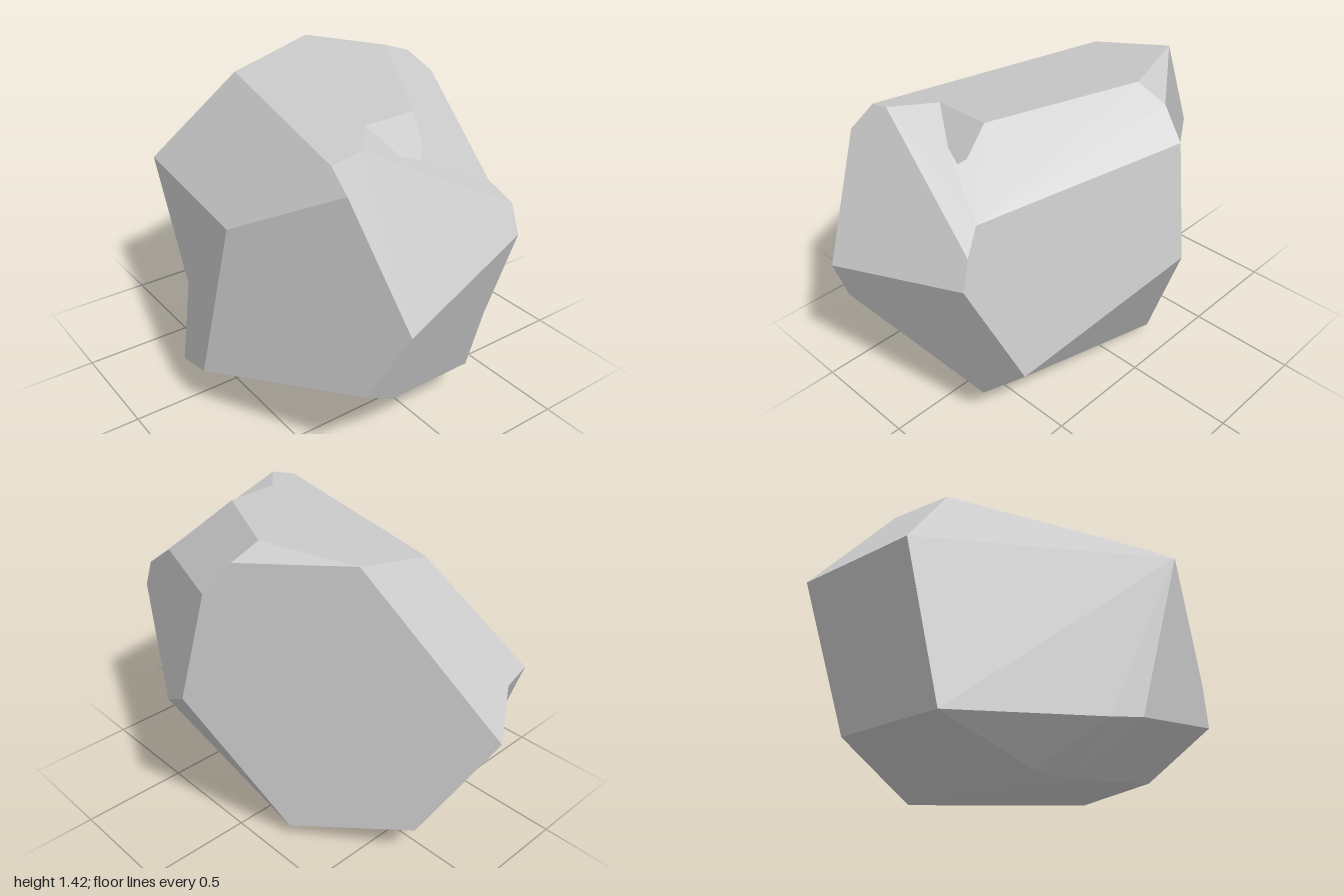
import * as THREE from 'three';

// Corners of the boulder, by region
const corner = {
  // flat top and its rim
  peak: [0.38, 1.42, -0.06], peakRight: [0.52, 1.37, -0.06], shoulder: [0.635, 1.26, -0.02],
  topBackR: [0.225, 1.397, -0.46], topBackL: [-0.18, 1.30, -0.44],
  topFrontL: [-0.43, 1.295, 0.64], topFront: [-0.31, 1.33, 0.66], rimL: [-0.44, 1.22, 0.75],
  // chip in the slope
  chipL: [-0.17, 1.342, 0.5], chipR: [0.08, 1.34, 0.49],
  chipLowL: [-0.05, 1.21, 0.57], chipLow: [0.03, 1.18, 0.595], chipLowR: [0.065, 1.21, 0.575],
  // front
  slopeFoot: [0.28, 1.08, 0.73], browR: [0.33, 1.0, 0.82], cheekR: [0.34, 0.87, 0.86],
  nose: [-0.33, 0.72, 1.0], jawL: [-0.44, 0.43, 0.88], chinL: [-0.18, 0.2, 0.73],
  chinR: [0.25, 0.19, 0.72], jawR: [0.425, 0.345, 0.64],
  // sides
  right: [0.73, 0.79, 0.04], leftTop: [-0.73, 1.03, 0.4],
  leftLowBack: [-0.73, 0.18, -0.05], leftLowFront: [-0.73, 0.22, 0.13],
  // back
  tail: [-0.04, 0.73, -1.0], backMid: [-0.28, 0.82, -0.84], backL: [-0.45, 0.82, -0.8],
  backLowR: [0.11, 0.19, -0.72], backLowL: [-0.41, 0.175, -0.61],
  // base
  footR: [0.39, 0.06, -0.22], footL: [-0.48, 0, -0.03], footBack: [-0.46, 0.012, -0.21],
};

// Facets, corners counter-clockwise from outside, fanned from the first one
const facets = {
  top: 'chipL chipR peak topBackR topBackL topFrontL topFront',
  topEdge: 'peak peakRight topBackR',
  slopeRight: 'slopeFoot shoulder peakRight peak chipR chipLowR chipLow chipLowL',
  slopeLeft: 'topFront browR slopeFoot chipLowL chipL',
  chipWall: 'chipL chipLowL chipLow chipLowR chipR',
  frontUpper: 'nose cheekR browR topFront topFrontL rimL',
  frontLower: 'nose jawL chinL chinR jawR cheekR',
  frontLeft: 'leftTop leftLowFront jawL nose rimL',
  lowerCorner: 'leftLowFront footL chinL jawL',
  frontUnderside: 'chinL footL footR chinR',
  rightUpper: 'right shoulder slopeFoot browR cheekR jawR',
  rightLower: 'jawR chinR footR right',
  rightBack: 'backLowR tail topBackR peakRight shoulder right footR',
  leftUpper: 'topBackL backL leftTop rimL topFrontL',
  leftLower: 'leftTop backL backLowL leftLowBack leftLowFront',
  backUpper: 'backMid backL topBackL topBackR tail',
  backLower: 'backMid tail backLowR backLowL backL',
  base: 'footR footL footBack backLowL backLowR',
  leftUndersideBack: 'leftLowBack backLowL footBack',
  leftUnderside: 'leftLowBack footBack footL',
  leftUndersideFront: 'leftLowFront leftLowBack footL',
};

// A facet is a fan of triangles sharing one averaged normal, so it reads as a single cut plane
function buildFacet(name, corners, material) {
  const points = corners.map((key) => new THREE.Vector3(...corner[key]));
  const normal = new THREE.Vector3();
  const index = [];
  for (let i = 1; i < points.length - 1; i++) {
    const a = points[i].clone().sub(points[0]);
    const b = points[i + 1].clone().sub(points[0]);
    normal.add(a.cross(b));
    index.push(0, i, i + 1);
  }
  normal.normalize();
  const normals = points.flatMap(() => normal.toArray());
  const geometry = new THREE.BufferGeometry().setFromPoints(points);
  geometry.setAttribute('normal', new THREE.Float32BufferAttribute(normals, 3));
  geometry.setIndex(index);
  const mesh = new THREE.Mesh(geometry, material);
  mesh.name = name;
  return mesh;
}

export function createModel() {
  const rock = new THREE.Group();
  rock.name = 'rock';
  const stone = new THREE.MeshStandardMaterial({ color: 0xcccccc });
  for (const [name, corners] of Object.entries(facets)) {
    rock.add(buildFacet(name, corners.split(' '), stone));
  }
  return rock;
}
